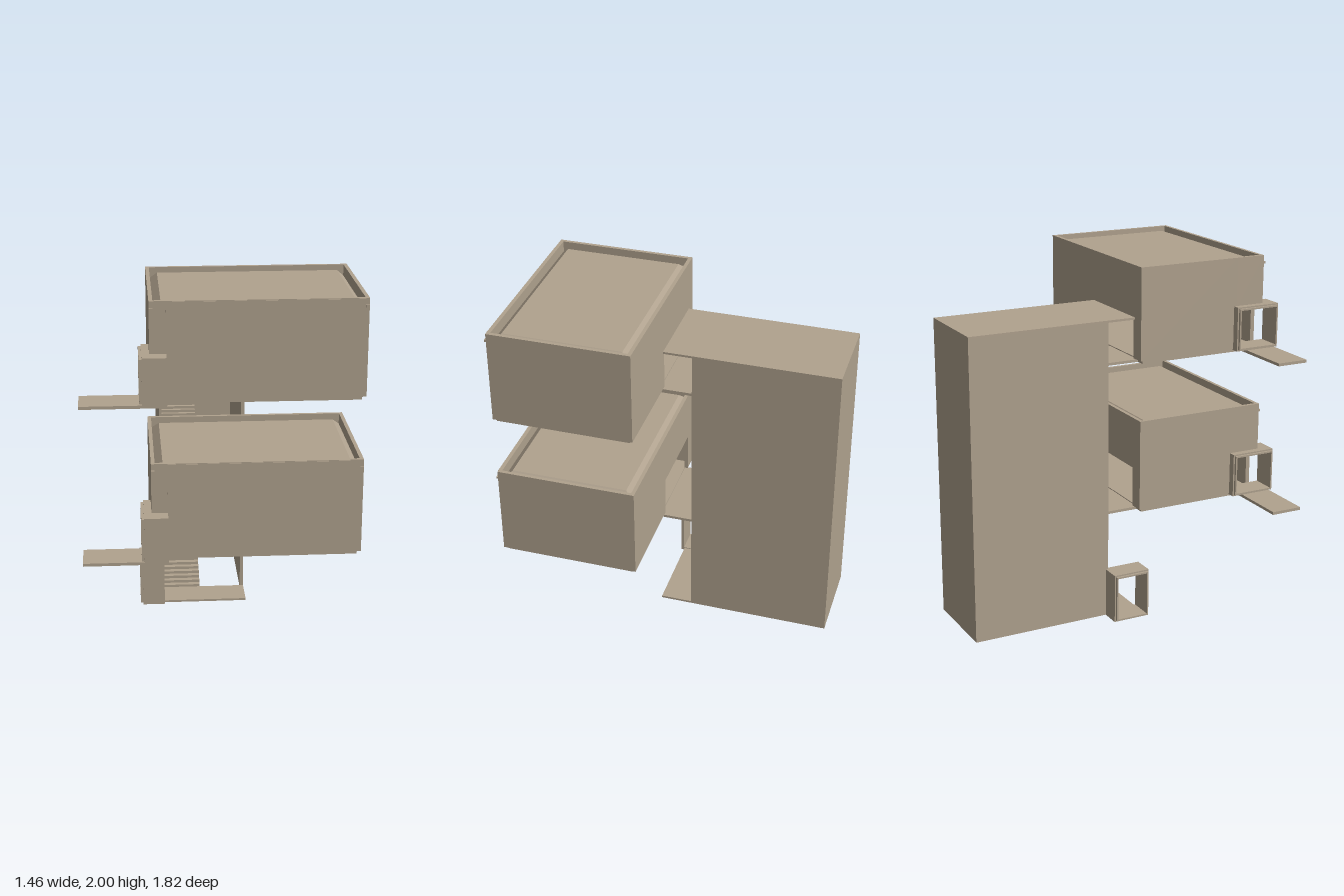
import * as THREE from 'three';

const STOREY = 0.855; // height between the two rooms
const BASE = 0.63; // floor level of the lower room

export function createModel() {
  const clay = new THREE.MeshStandardMaterial({ color: 0xb0a28e });
  clay.name = 'clay';
  const model = new THREE.Group();
  model.name = 'stackedRoomsWithStairTower';

  const group = (name, parent) => {
    const g = new THREE.Group();
    g.name = name;
    parent.add(g);
    return g;
  };
  // Box given by its lower and upper limits on each axis
  const block = (name, parent, x0, x1, y0, y1, z0, z1) => {
    const mesh = new THREE.Mesh(new THREE.BoxGeometry(x1 - x0, y1 - y0, z1 - z0), clay);
    mesh.name = name;
    mesh.position.set((x0 + x1) / 2, (y0 + y1) / 2, (z0 + z1) / 2);
    parent.add(mesh);
    return mesh;
  };
  // Rectangular tube open along x
  const tube = (name, parent, x0, x1, y0, y1, z0, z1, t) => {
    const g = group(name, parent);
    block('sill', g, x0, x1, y0, y0 + t, z0, z1);
    block('lintel', g, x0, x1, y1 - t, y1, z0, z1);
    for (const z of [z0, z1 - t]) block('jamb', g, x0, x1, y0 + t, y1 - t, z, z + t);
  };
  const portal = (parent, y0, y1, z0, z1) => {
    const g = group('entrancePortal', parent);
    tube('portalTube', g, -0.41, -0.285, y0, y1, z0, z1, 0.017);
    tube('portalFlange', g, -0.424, -0.41, y0 + 0.008, y1 - 0.008, z0 + 0.008, z1 - 0.008, 0.009);
  };

  // Stair tower, open at the front and the bottom
  const tower = group('stairTower', model);
  block('towerRightWall', tower, -0.3, -0.285, 0, 1.705, -0.91, -0.1);
  block('towerLeftWall', tower, 0.17, 0.19, 0, 1.705, -0.91, -0.1);
  block('towerBackWall', tower, -0.285, 0.17, 0, 1.705, -0.91, -0.895);
  block('towerRoof', tower, -0.3, 0.19, 1.703, 1.715, -0.91, 0.06);

  // Flight of steps between two heights, running along z
  const flight = (x0, x1, y0, y1, zStart, zEnd) => {
    const g = group('stairFlight', tower);
    const n = Math.round((y1 - y0) / 0.0155);
    const rise = (y1 - y0) / n, run = (zEnd - zStart) / n;
    for (let i = 0; i < n; i++) {
      const a = zStart + run * i, b = a + run, top = y0 + rise * (i + 1);
      block('step', g, x0, x1, Math.max(0, top - rise * 1.8), top, Math.min(a, b), Math.max(a, b));
    }
  };
  for (const [y0, yMid, y1] of [[0.01, 0.325, 0.625], [0.625, 1.05, 1.48]]) {
    flight(-0.285, -0.07, y0, yMid, -0.1, -0.7);
    block('landing', tower, -0.285, 0.17, yMid - 0.015, yMid, -0.895, -0.7);
    flight(-0.04, 0.165, yMid, y1, -0.7, -0.1);
  }

  // Ground entrance
  block('entranceFloor', model, -0.3, 0.19, 0, 0.012, -0.1, 0.08);
  portal(model, 0, 0.28, -0.115, 0.1);

  // One room: y is measured from its floor
  const buildRoom = (y) => {
    const room = group('room', model);
    room.position.y = y;
    const H = 0.515, door = 0.225;

    block('rightWallBack', room, -0.37, -0.35, 0, H, 0.06, 0.66);
    block('rightWallAbovePortal', room, -0.37, -0.35, 0.235, H, 0.66, 0.83);
    block('leftWall', room, 0.71, 0.73, 0, H, 0.06, 0.83);
    block('frontWall', room, -0.285, 0.71, 0, H, 0.81, 0.83);
    block('frontWallAbovePortal', room, -0.35, -0.285, 0.235, H, 0.81, 0.83);
    block('frontPanel', room, -0.285, 0.71, 0, H - 0.004, 0.83, 0.834);

    // Back wall around the doorway
    block('backWallRight', room, -0.35, -0.285, 0, H, 0.06, 0.08);
    block('backWallLeft', room, 0.17, 0.71, 0, H, 0.06, 0.08);
    block('backWallOverDoor', room, -0.285, 0.17, door, H, 0.06, 0.08);

    // Raised roof with sloping edges inside the parapet
    const roof = block('hippedRoof', room, -0.35, 0.71, 0.455, 0.495, 0.08, 0.81);
    const p = roof.geometry.attributes.position;
    for (let i = 0; i < p.count; i++) {
      if (p.getY(i) < 0) continue;
      p.setX(i, p.getX(i) - Math.sign(p.getX(i)) * 0.042);
      p.setZ(i, p.getZ(i) - Math.sign(p.getZ(i)) * 0.042);
    }
    roof.geometry = roof.geometry.toNonIndexed();
    roof.geometry.computeVertexNormals();

    // Small rain spouts at the front corners
    for (const x of [-0.36, 0.72]) {
      block('rainSpout', room, x - 0.009, x + 0.009, 0.468, 0.48, 0.83, 0.84);
    }

    // Floor slab, bridge to the tower and entrance platform
    block('floorSlab', room, -0.35, 0.71, -0.02, 0, 0.08, 0.815);
    block('bridge', room, -0.3, 0.19, -0.02, -0.005, -0.1, 0.08);
    block('entrancePlatform', room, -0.73, -0.35, -0.02, -0.004, 0.71, 0.89);
    block('platformUnderPortal', room, -0.35, -0.285, -0.02, -0.004, 0.815, 0.89);
    portal(room, -0.004, 0.245, 0.645, 0.907);
  };
  for (let i = 0; i < 2; i++) buildRoom(BASE + i * STOREY);

  return model;
}
